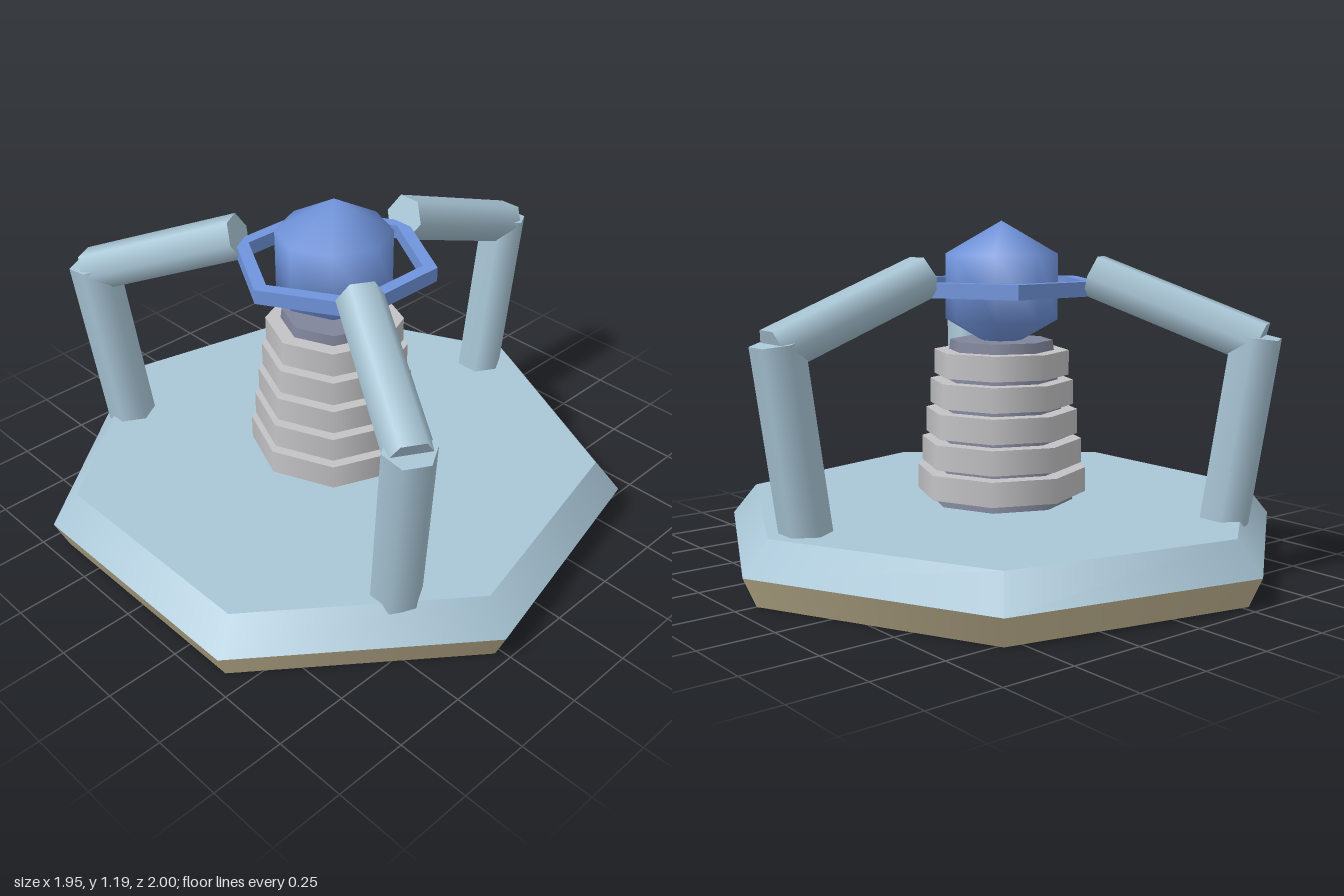
import * as THREE from 'three';

const mat = (name, color) => {
  const m = new THREE.MeshStandardMaterial({ color });
  m.name = name;
  return m;
};

export function createModel() {
  const paleBlue = mat('pale blue', 0xa9c6d6);
  const tan = mat('tan', 0xc2b592);
  const slate = mat('slate', 0x80859a);
  const grey = mat('light grey', 0xc3c2c4);
  const blue = mat('blue', 0x7094dc);

  const model = new THREE.Group();
  model.name = 'orbPedestal';
  // everything turns around this axis, which lies slightly off the base's bounds centre
  const hub = new THREE.Group();
  hub.name = 'hub';
  hub.position.x = -0.055;
  model.add(hub);

  const add = (name, geometry, material, parent = hub) => {
    const mesh = new THREE.Mesh(geometry, material);
    mesh.name = name;
    parent.add(mesh);
    return mesh;
  };
  // faceted drum between two heights, one corner towards +x
  const drum = (name, rTop, rBottom, y0, y1, sides, material) => {
    const g = new THREE.CylinderGeometry(rTop, rBottom, y1 - y0, sides);
    g.rotateY(Math.PI / 2).translate(0, (y0 + y1) / 2, 0);
    return add(name, g, material);
  };

  // seven-sided base: tan lower half with a slate underside, pale blue upper half
  drum('baseLower', 1.026, 0.98, 0, 0.1, 7, [tan, tan, slate]);
  drum('baseUpper', 0.935, 1.026, 0.1, 0.21, 7, paleBlue);

  // tapering core with five stacked plates
  drum('core', 0.18, 0.255, 0.2, 0.775, 8, slate);
  for (let i = 0; i < 5; i++) {
    const r = 0.298 - i * 0.0153;
    const y = 0.24 + i * 0.1035;
    drum('stackPlate', r, r, y, y + 0.086, 8, grey);
  }

  // faceted orb
  const orb = new THREE.SphereGeometry(0.227, 8, 3);
  add('orb', orb, blue).position.y = 0.96;

  // hexagonal ring around the orb
  const hexagon = (r) => Array.from({ length: 6 }, (_, i) =>
    new THREE.Vector2(Math.cos(i * Math.PI / 3) * r, Math.sin(i * Math.PI / 3) * r));
  const ringShape = new THREE.Shape(hexagon(0.35));
  ringShape.holes.push(new THREE.Path(hexagon(0.3)));
  const ringGeo = new THREE.ExtrudeGeometry(ringShape, { depth: 0.05, bevelEnabled: false });
  ringGeo.rotateX(-Math.PI / 2);
  add('ring', ringGeo, blue).position.y = 0.935;

  // six-sided bar between two points of the x-y plane
  const bar = (name, x0, y0, x1, y1, r, parent) => {
    const g = new THREE.CylinderGeometry(r, r, Math.hypot(x1 - x0, y1 - y0), 6);
    const mesh = add(name, g, paleBlue, parent);
    mesh.position.set((x0 + x1) / 2, (y0 + y1) / 2, 0);
    mesh.rotation.z = -Math.atan2(x1 - x0, y1 - y0);
  };

  // three bent arms holding the ring
  for (let i = 0; i < 3; i++) {
    const arm = new THREE.Group();
    arm.name = 'arm';
    arm.rotation.y = i * Math.PI * 2 / 3;
    bar('armPost', 0.797, 0.195, 0.888, 0.82, 0.086, arm);
    bar('armReach', 0.9, 0.795, 0.335, 1.005, 0.079, arm);
    hub.add(arm);
  }
  return model;
}
